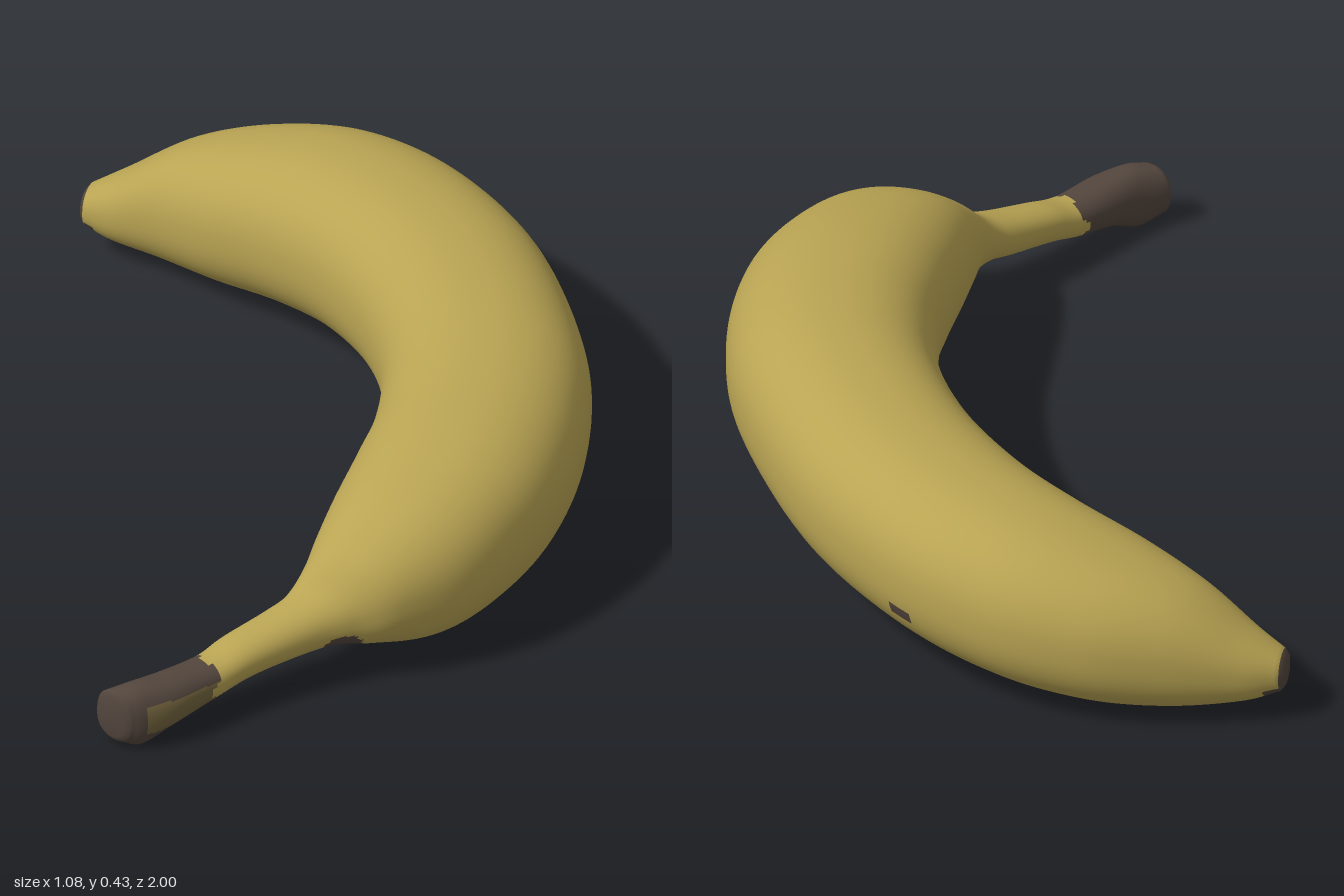
import * as THREE from 'three';

// Sections from blossom tip to stem: inner x, inner z, outer x, outer z, bottom y, top y
const SECTIONS = [
  [-0.445, -0.91, -0.41, -0.995, 0.065, 0.15],
  [-0.40, -0.865, -0.32, -1.0, 0.042, 0.195],
  [-0.32, -0.79, -0.15, -0.99, 0.025, 0.285],
  [-0.22, -0.68, 0.02, -0.95, 0.02, 0.345],
  [-0.10, -0.56, 0.19, -0.85, 0.03, 0.39],
  [0.0, -0.42, 0.35, -0.66, 0.045, 0.415],
  [0.08, -0.22, 0.48, -0.37, 0.058, 0.43],
  [0.11, 0.0, 0.54, 0.0, 0.065, 0.437],
  [0.08, 0.2, 0.52, 0.25, 0.052, 0.43],
  [0.025, 0.35, 0.45, 0.46, 0.042, 0.415],
  [-0.03, 0.48, 0.35, 0.61, 0.038, 0.385],
  [-0.07, 0.58, 0.24, 0.71, 0.045, 0.345],
  [-0.10, 0.65, 0.10, 0.765, 0.075, 0.28],
  [-0.14, 0.695, 0.0, 0.775, 0.09, 0.215],
  [-0.19, 0.725, -0.08, 0.795, 0.085, 0.187],
  [-0.28, 0.78, -0.20, 0.85, 0.072, 0.16],
  [-0.335, 0.815, -0.28, 0.90, 0.055, 0.138],
  [-0.42, 0.87, -0.37, 0.965, 0.033, 0.14],
  [-0.48, 0.905, -0.44, 0.995, 0.004, 0.143],
  [-0.54, 0.93, -0.475, 1.0, 0.018, 0.135],
];
const SIDES = 80, STEPS = 9;

function material(name, color) {
  const m = new THREE.MeshStandardMaterial({ color });
  m.name = name;
  return m;
}

const inEllipse = (a, b, ca, cb, ra, rb) => ((a - ca) / ra) ** 2 + ((b - cb) / rb) ** 2 < 1;

// Which colour a patch of skin has: 0 yellow, 1 brown, 2 olive
function skinColour(p, s) {
  const wobble = 0.12 * Math.sin(p.y * 90);
  if (s > 16.1 + wobble) {
    const face = p.x * 0.55 + p.z * 0.83; // front-facing side of the stem
    return s < 18 && face > 0.575 && p.y > 0.045 && p.y < 0.11 ? 2 : 1;
  }
  if (s < 0.5 && p.y < 0.085) return 1; // bruise under the tip
  if (p.x > 0.1 && inEllipse(p.z, p.y, -0.68, 0.16, 0.038, 0.014)) return 1; // side spot
  if (p.z > 0.7 && inEllipse(p.x, p.y, -0.02, 0.1, 0.04, 0.028)) return 1; // stem base bruise
  return 0;
}

export function createModel() {
  const materials = [
    material('yellow skin', 0xb9a453),
    material('dark brown', 0x53463d),
    material('olive stem', 0x75663f),
  ];
  const curve = (f) => new THREE.CatmullRomCurve3(SECTIONS.map(f), false, 'catmullrom', 0.5);
  const inner = curve(([x, z, , , lo]) => new THREE.Vector3(x, lo, z));
  const outer = curve(([, , x, z, , hi]) => new THREE.Vector3(x, hi, z));
  const count = (SECTIONS.length - 1) * STEPS;

  // Rings of slightly squared ovals along the curved body
  const points = [], rings = [];
  const squash = (v) => Math.sign(v) * Math.abs(v) ** 0.88;
  function addRing(t, scale, push) {
    const a = inner.getPoint(t), b = outer.getPoint(t);
    const mid = a.clone().add(b).multiplyScalar(0.5).add(push);
    const half = b.sub(a).multiplyScalar(0.5 * scale);
    for (let j = 0; j < SIDES; j++) {
      const ang = (j / SIDES) * Math.PI * 2;
      const c = squash(Math.cos(ang)), s = squash(Math.sin(ang));
      points.push(new THREE.Vector3(mid.x + half.x * c, mid.y + half.y * s, mid.z + half.z * c));
    }
    rings.push(t * (SECTIONS.length - 1));
    return mid;
  }
  const tipPush = new THREE.Vector3(-0.008, 0, -0.003);
  const endPush = new THREE.Vector3(-0.008, 0, 0.003);
  const tipCentre = addRing(0, 0.75, tipPush);
  for (let i = 0; i <= count; i++) addRing(i / count, 1, new THREE.Vector3());
  const endCentre = addRing(1, 0.8, endPush);

  // Sort the faces by colour
  const faces = [[], [], []];
  for (let i = 0; i < rings.length - 1; i++) {
    for (let j = 0; j < SIDES; j++) {
      const k = (j + 1) % SIDES;
      const a = i * SIDES + j, b = i * SIDES + k, c = b + SIDES, d = a + SIDES;
      const p = points[a].clone().add(points[c]).multiplyScalar(0.5);
      const colour = i === 0 ? 1 : skinColour(p, (rings[i] + rings[i + 1]) / 2);
      faces[colour].push(a, b, c, a, c, d);
    }
  }

  // Closed ends
  const last = (rings.length - 1) * SIDES;
  const tip = points.push(tipCentre) - 1, end = points.push(endCentre) - 1;
  for (let j = 0; j < SIDES; j++) {
    const k = (j + 1) % SIDES;
    faces[1].push(tip, k, j, end, last + j, last + k);
  }

  const geometry = new THREE.BufferGeometry().setFromPoints(points);
  geometry.setIndex(faces.flat());
  let start = 0;
  faces.forEach((f, i) => {
    geometry.addGroup(start, f.length, i);
    start += f.length;
  });
  geometry.computeVertexNormals();

  const fruit = new THREE.Mesh(geometry, materials);
  fruit.name = 'bananaSkinAndStem';
  const group = new THREE.Group();
  group.name = 'banana';
  group.add(fruit);
  return group;
}
